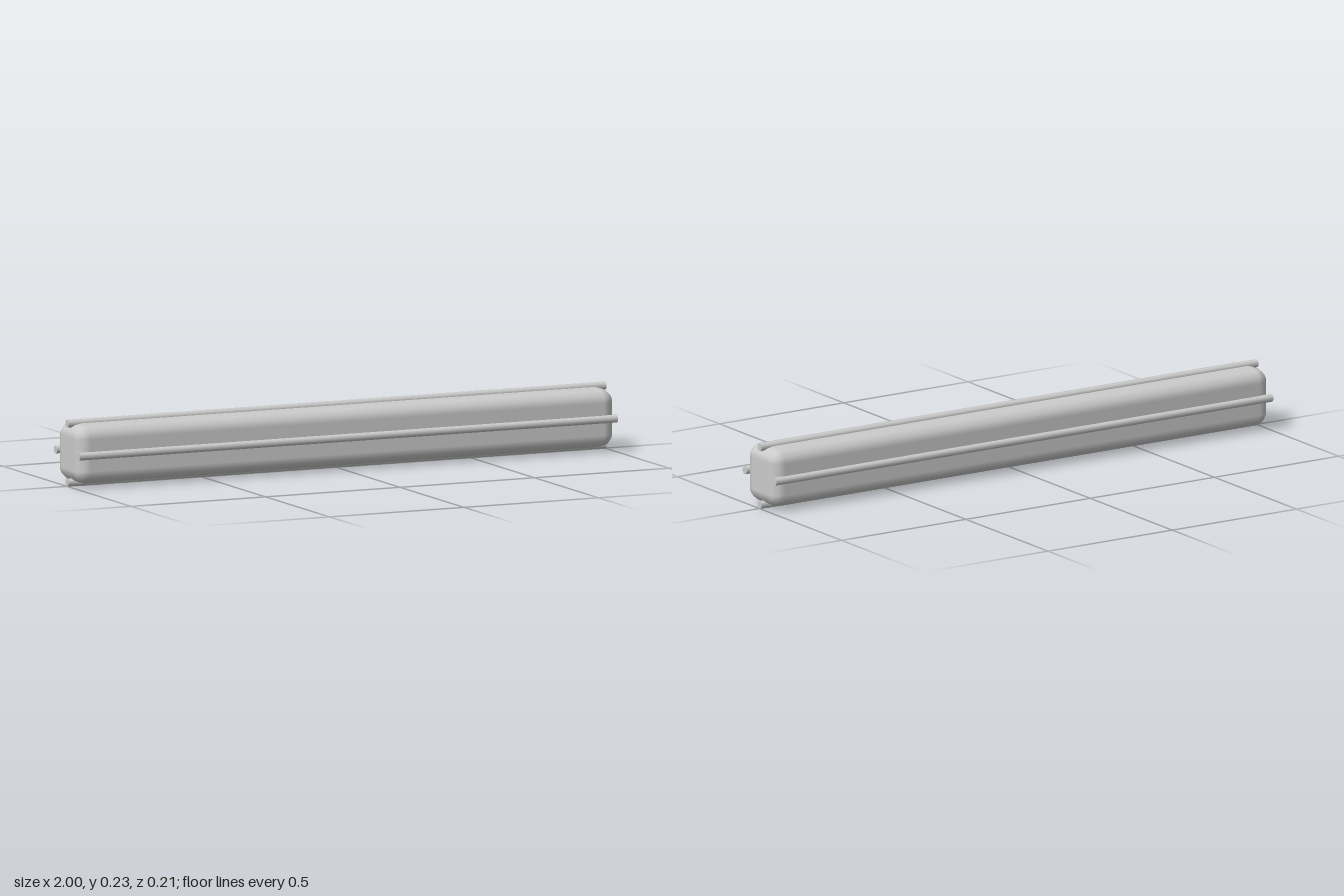
import * as THREE from 'three';

const steel = new THREE.MeshStandardMaterial({ color: 0xcccccc });
steel.name = 'light grey';

const MID = 0.115, HALF = [1, 0.1, 0.09], R = 0.045, STEPS = 3;

// Rounded bar: cross-section loops along x, with smooth normals
function roundedBar() {
  const pos = [], nor = [], idx = [];
  const n = 4 * (STEPS + 1), rings = 2 * (STEPS + 1);
  for (let i = 0; i < rings; i++) {
    const side = i <= STEPS ? -1 : 1;
    const a = (i - (side > 0 ? 1 : 0)) / (2 * STEPS) * Math.PI;
    const nx = -Math.cos(a), s = Math.sin(a);
    for (let c = 0; c < 4; c++) {
      const sy = c === 0 || c === 3 ? 1 : -1;
      const sz = c < 2 ? 1 : -1;
      for (let k = 0; k <= STEPS; k++) {
        const b = (c + k / STEPS) * Math.PI / 2;
        const ny = s * Math.cos(b), nz = s * Math.sin(b);
        pos.push(side * (HALF[0] - R) + R * nx, sy * (HALF[1] - R) + R * ny, sz * (HALF[2] - R) + R * nz);
        nor.push(nx, ny, nz);
      }
    }
  }
  for (let i = 0; i < rings - 1; i++) {
    for (let j = 0; j < n; j++) {
      const a = i * n + j, b = i * n + (j + 1) % n;
      idx.push(a, a + n, b, b, a + n, b + n);
    }
  }
  // Flat ends, one corner vertex per quadrant
  const q = STEPS + 1, e = (rings - 1) * n;
  idx.push(0, q, 2 * q, 0, 2 * q, 3 * q);
  idx.push(e, e + 2 * q, e + q, e, e + 3 * q, e + 2 * q);
  const g = new THREE.BufferGeometry();
  g.setAttribute('position', new THREE.Float32BufferAttribute(pos, 3));
  g.setAttribute('normal', new THREE.Float32BufferAttribute(nor, 3));
  // Make every triangle wind outwards, in line with its vertex normals
  const v = (arr, i) => new THREE.Vector3().fromArray(arr, i * 3);
  for (let t = 0; t < idx.length; t += 3) {
    const [a, b, c] = idx.slice(t, t + 3);
    const face = v(pos, b).sub(v(pos, a)).cross(v(pos, c).sub(v(pos, a)));
    const out = v(nor, a).add(v(nor, b)).add(v(nor, c));
    if (face.dot(out) < 0) { idx[t + 1] = c; idx[t + 2] = b; }
  }
  g.setIndex(idx);
  return g;
}

export function createModel() {
  const model = new THREE.Group();
  model.name = 'railedBeam';

  const bar = new THREE.Mesh(roundedBar(), steel);
  bar.name = 'beam';
  bar.position.y = MID;
  model.add(bar);

  // Thin rods running the full length, one on the middle of each long face
  const rod = new THREE.CylinderGeometry(0.0135, 0.0135, 2, 10).rotateZ(Math.PI / 2);
  const rails = { topRail: [0.1, 0], bottomRail: [-0.1, 0], frontRail: [0, 0.09], backRail: [0, -0.09] };
  for (const [name, [y, z]] of Object.entries(rails)) {
    const m = new THREE.Mesh(rod, steel);
    m.name = name;
    m.position.set(0, MID + y, z);
    model.add(m);
  }
  return model;
}
